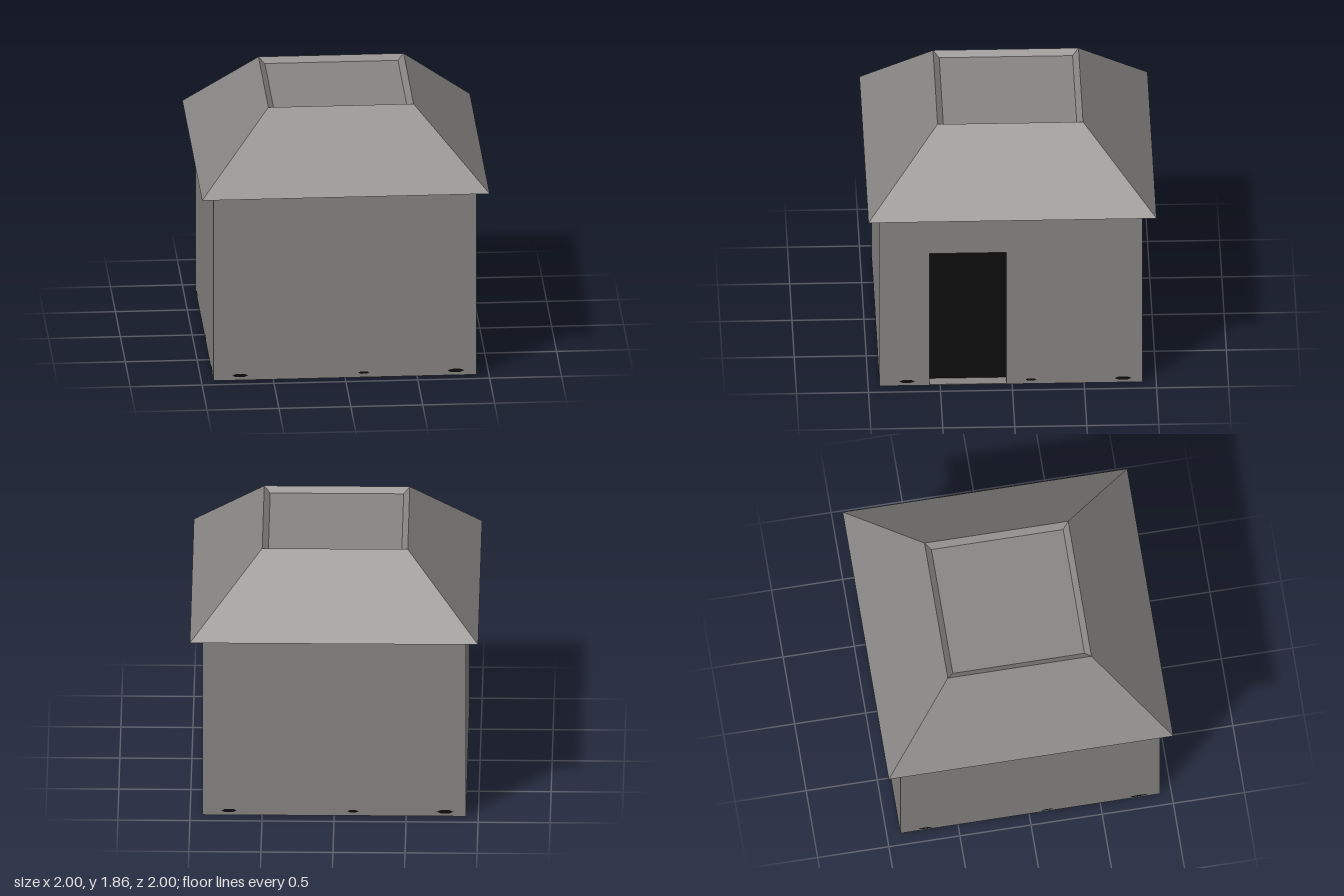
import * as THREE from 'three';

const stone = new THREE.MeshStandardMaterial({ color: 0x878583 });
stone.name = 'grey stone';
const black = new THREE.MeshStandardMaterial({ color: 0x0d0d0d });
black.name = 'black';

const EAVE = 1.365, RIDGE = 1.86;
const X = 0.915, Z0 = -0.905, Z1 = 0.92; // outer wall planes
const RECESS = 0.09;                      // doorway depth
const DOOR = { z0: 0.04, z1: 0.575, y0: 0.006, y1: 1.06 };

function add(parent, name, geometry, material, x = 0, y = 0, z = 0) {
  const mesh = new THREE.Mesh(geometry, material);
  mesh.name = name;
  mesh.position.set(x, y, z);
  parent.add(mesh);
  return mesh;
}

function rectangle(Type, a, b, c, d) {
  const s = new Type();
  s.moveTo(a, b).lineTo(c, b).lineTo(c, d).lineTo(a, d).closePath();
  return s;
}

export function createModel() {
  const house = new THREE.Group();
  house.name = 'house';

  // Main block, stopping short of the door wall
  add(house, 'walls', new THREE.BoxGeometry(2 * X - RECESS, EAVE, Z1 - Z0), stone,
    -RECESS / 2, EAVE / 2, (Z0 + Z1) / 2);

  // Door wall with its opening
  const wall = rectangle(THREE.Shape, -Z1, 0, -Z0, EAVE);
  wall.holes.push(rectangle(THREE.Path, -DOOR.z1, DOOR.y0, -DOOR.z0, DOOR.y1));
  const wallGeometry = new THREE.ExtrudeGeometry(wall, { depth: RECESS, bevelEnabled: false });
  wallGeometry.rotateY(Math.PI / 2);
  add(house, 'doorWall', wallGeometry, stone, X - RECESS);

  // Dark door at the back of the opening
  add(house, 'door', new THREE.BoxGeometry(0.006, DOOR.y1 - DOOR.y0, DOOR.z1 - DOOR.z0), black,
    X - RECESS + 0.003, (DOOR.y0 + DOOR.y1) / 2, (DOOR.z0 + DOOR.z1) / 2);

  // Four-sided roof with a flat soffit and a shallow sunken top
  const profile = [[0, EAVE], [1, EAVE], [0.505, RIDGE], [0.463, RIDGE - 0.036], [0, RIDGE - 0.036]]
    .map(([r, y]) => new THREE.Vector2(r * Math.SQRT2, y));
  const roof = new THREE.LatheGeometry(profile, 4, Math.PI / 4).toNonIndexed();
  roof.computeVertexNormals();
  add(house, 'roof', roof, stone);

  // Small dark stains along the foot of each wall
  const stain = new THREE.CircleGeometry(1, 6);
  const sides = [
    ['front', 0, 0, Z1], ['right', Math.PI / 2, X, 0],
    ['back', Math.PI, 0, Z0], ['left', -Math.PI / 2, -X, 0],
  ];
  for (const [name, angle, x, z] of sides) {
    const group = new THREE.Group();
    group.name = name + 'Stains';
    group.position.set(x, 0, z);
    group.rotation.y = angle;
    for (const [u, w, h] of [[-0.73, 0.055, 0.014], [0.77, 0.06, 0.014], [0.13, 0.04, 0.01]]) {
      add(group, 'stain', stain, black, u, 0.035, 0.002).scale.set(w, h, 1);
    }
    house.add(group);
  }
  return house;
}
